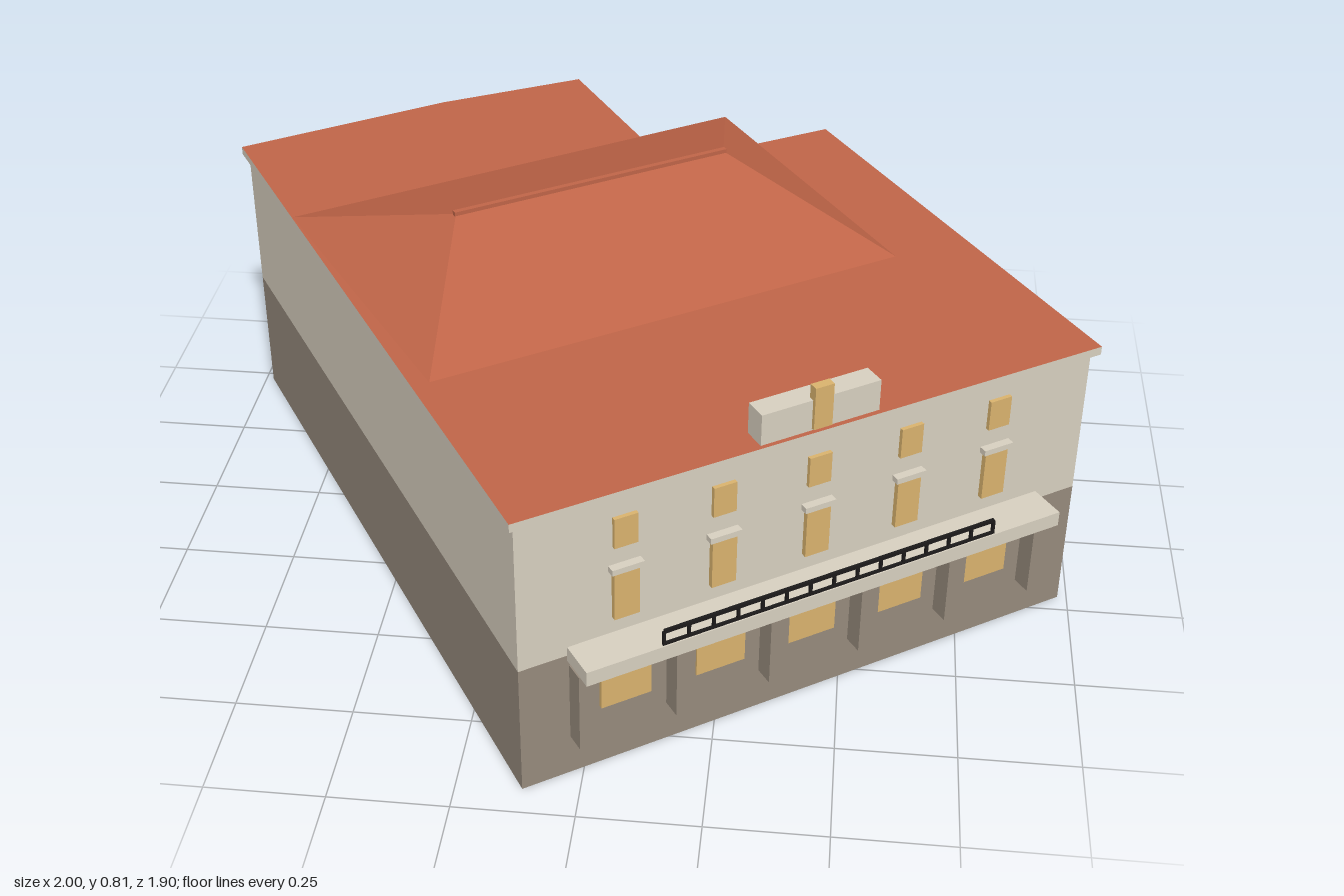
import * as THREE from 'three';

const mat = (name, color) => {
  const m = new THREE.MeshStandardMaterial({ color });
  m.name = name;
  return m;
};

export function createModel() {
  const cream = mat('cream plaster', 0xd8d0c0);
  const brown = mat('brown base', 0x968a7c);
  const red = mat('red roof', 0xc06548);
  const gold = mat('gold window', 0xdab36e);
  const black = mat('black iron', 0x1c1a1a);

  const model = new THREE.Group();
  model.name = 'building';

  const add = (parent, name, geometry, material) => {
    const mesh = new THREE.Mesh(geometry, material);
    mesh.name = name;
    parent.add(mesh);
    return mesh;
  };

  // Upright prism over an outline of [x, z] points
  const prism = (points, y0, y1) => {
    const shape = new THREE.Shape(points.map(([x, z]) => new THREE.Vector2(x, -z)));
    const g = new THREE.ExtrudeGeometry(shape, { depth: y1 - y0, bevelEnabled: false });
    return g.rotateX(-Math.PI / 2).translate(0, y0, 0);
  };

  // Walls in two storeys, and the overhanging roof slab with a cream rim
  const wallLine = [[-0.115, 0.935], [0.98, 0.205], [0.395, -0.712], [0.028, -0.493],
    [-0.245, -0.934], [-0.555, -0.762], [-0.982, -0.475]];
  const roofLine = [[-0.12, 0.945], [1, 0.21], [0.4, -0.732], [0.032, -0.511],
    [-0.24, -0.95], [-0.56, -0.778], [-1, -0.48]];
  add(model, 'lowerWalls', prism(wallLine, 0, 0.305), brown);
  add(model, 'upperWalls', prism(wallLine, 0.305, 0.646), cream);
  add(model, 'roofSlab', prism(roofLine, 0.646, 0.665), [red, cream]);

  // Hipped roof
  const e = 0.664, t = 0.803;
  const a = [-0.795, e, -0.15], b = [-0.353, e, 0.497], c = [0.578, e, -0.118], d = [0.15, e, -0.775];
  const p = [-0.374, t, 0.043], q = [0.176, t, -0.315];
  const faces = (...triangles) => {
    const g = new THREE.BufferGeometry();
    g.setAttribute('position', new THREE.Float32BufferAttribute(triangles.flat(2), 3));
    g.computeVertexNormals();
    return g;
  };
  add(model, 'hippedRoof', faces([a, b, p], [b, c, q], [b, q, p], [c, d, q], [d, a, p], [d, p, q]), red);
  add(model, 'hippedRoofUnderside', faces([a, d, c], [a, c, b]), cream);
  const ridge = add(model, 'ridge', new THREE.BoxGeometry(Math.hypot(q[0] - p[0], q[2] - p[2]) + 0.01, 0.012, 0.012), red);
  ridge.position.set((p[0] + q[0]) / 2, 0.804, (p[2] + q[2]) / 2);
  ridge.rotation.y = Math.atan2(p[2] - q[2], q[0] - p[0]);

  // Front face: local x runs along the wall, local z points out of it
  const front = new THREE.Group();
  front.name = 'frontFacade';
  front.position.set(-0.115, 0, 0.935);
  front.rotation.y = Math.atan2(0.73, 1.095);
  model.add(front);
  const block = (name, x0, x1, y0, y1, z0, z1, material) =>
    add(front, name, new THREE.BoxGeometry(x1 - x0, y1 - y0, z1 - z0), material)
      .position.set((x0 + x1) / 2, (y0 + y1) / 2, (z0 + z1) / 2);
  const centred = (name, x, w, ...rest) => block(name, x - w / 2, x + w / 2, ...rest);

  const middle = 0.66, step = 0.215;
  for (let i = -2; i <= 2; i++) {
    const x = middle + i * step;
    centred('upperWindow', x, 0.051, 0.535, 0.604, -0.005, 0.009, gold);
    centred('middleWindow', x, 0.055, 0.365, 0.48, -0.005, 0.012, gold);
    centred('windowLintel', x, 0.07, 0.479, 0.492, -0.005, 0.018, cream);
    centred('lowerWindow', x, 0.112, 0.148, 0.29, -0.005, 0.009, gold);
  }

  // Porch
  for (let i = 0; i < 6; i++) {
    centred('porchColumn', middle + (i - 2.5) * step, 0.042, 0.11, 0.294, 0.015, 0.058, brown);
  }
  block('porchSlab', 0.105, 1.215, 0.292, 0.326, -0.005, 0.085, cream);

  // Balcony railing
  const r0 = 0.275, r1 = 1.047, posts = 14;
  block('railingTop', r0, r1, 0.355, 0.363, 0.076, 0.082, black);
  block('railingBottom', r0, r1, 0.326, 0.331, 0.076, 0.082, black);
  for (let i = 0; i <= posts; i++) {
    centred('railingPost', r0 + (r1 - r0) * i / posts, 0.006, 0.326, 0.358, 0.076, 0.082, black);
  }

  // Parapet with a small gold centrepiece
  block('parapet', 0.525, 0.795, 0.66, 0.735, -0.05, 0, cream);
  centred('parapetCentrepiece', middle, 0.042, 0.67, 0.766, -0.012, 0.008, gold);

  return model;
}
